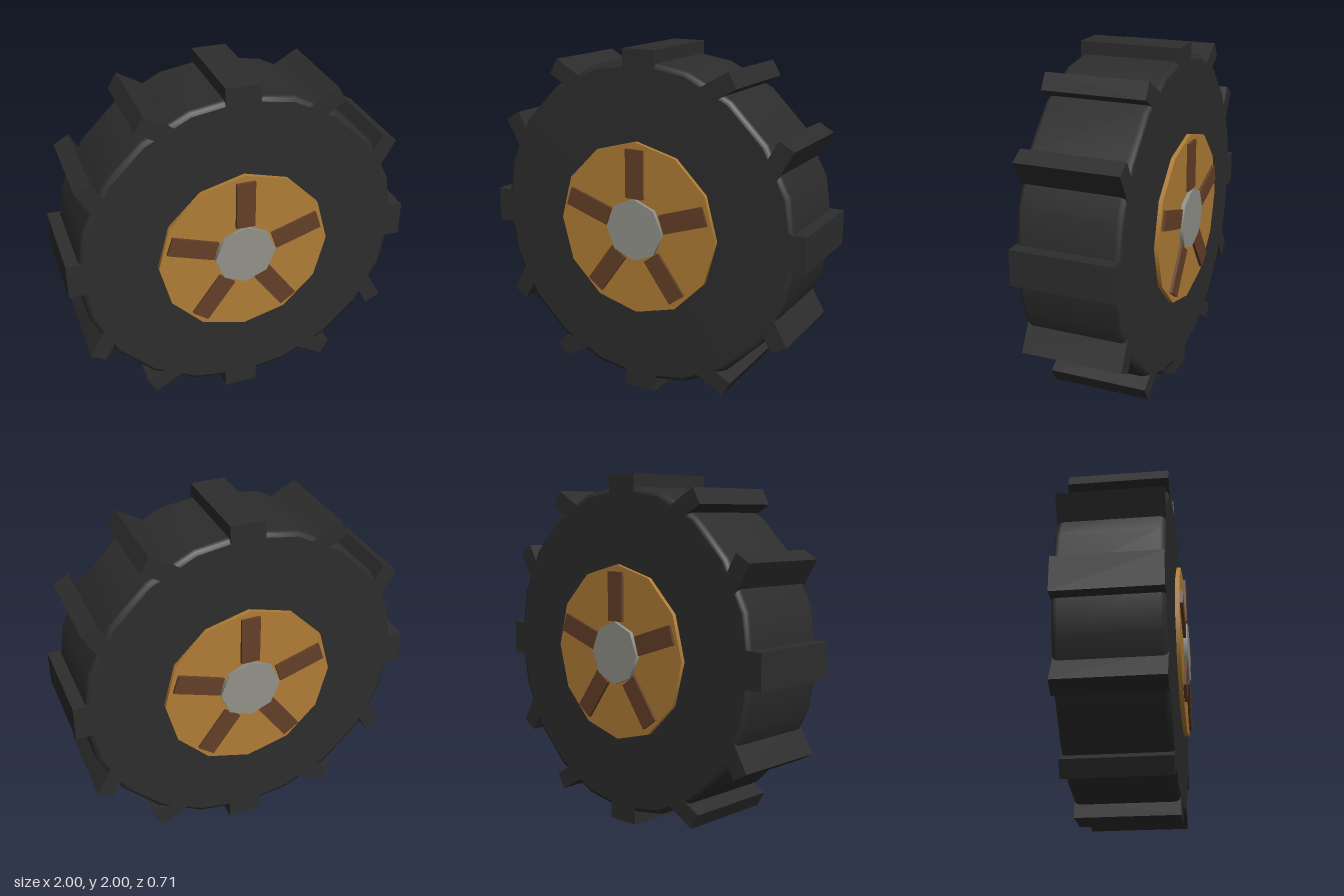
import * as THREE from 'three';

const mat = (name, color) => {
  const m = new THREE.MeshStandardMaterial({ color });
  m.name = name;
  return m;
};

export function createModel() {
  const rubber = mat('black rubber', 0x2d2d2d);
  const bronze = mat('bronze', 0xb07d35);
  const brown = mat('brown', 0x643f27);
  const steel = mat('steel', 0x92928a);

  const wheel = new THREE.Group();
  wheel.name = 'wheel';
  wheel.position.y = 1;

  const add = (parent, name, geometry, material, x = 0, y = 0, z = 0) => {
    const mesh = new THREE.Mesh(geometry, material);
    mesh.name = name;
    mesh.position.set(x, y, z);
    parent.add(mesh);
    return mesh;
  };

  // Tyre: 20-sided drum with softened shoulders; repeated points keep the side walls flat
  const half = [[0, -0.29], [0.915, -0.29], [0.915, -0.29], [0.934, -0.282], [0.943, -0.26]];
  const profile = [...half, ...half.map(([r, z]) => [r, -z]).reverse()];
  const tyre = new THREE.LatheGeometry(profile.map(([r, z]) => new THREE.Vector2(r, z)), 20);
  tyre.rotateX(Math.PI / 2);
  add(wheel, 'tyre', tyre, rubber);

  // Tread lugs: each turns against its position angle, so the diagonal ones stand out like paddles
  const lug = new THREE.BoxGeometry(0.1, 0.2, 0.58);
  for (let i = 0; i < 12; i++) {
    const a = (i * Math.PI) / 6;
    add(wheel, 'treadLug', lug, rubber, 0.95 * Math.cos(a), 0.95 * Math.sin(a)).rotation.z = -a;
  }

  // Rim plate, spokes and hub cap on both sides
  const disc = (r, depth, sides) => new THREE.CylinderGeometry(r, r, depth, sides).rotateX(Math.PI / 2);
  const plate = disc(0.5, 0.024, 12);
  const cap = disc(0.18, 0.024, 8);
  const spoke = new THREE.BoxGeometry(0.28, 0.11, 0.018);
  for (const side of [1, -1]) {
    const rim = new THREE.Group();
    rim.name = side > 0 ? 'frontRim' : 'backRim';
    add(rim, 'rimPlate', plate, bronze, 0, 0, side * 0.318);
    for (let i = 0; i < 5; i++) {
      const a = Math.PI / 2 + (i * Math.PI * 2) / 5;
      add(rim, 'spoke', spoke, brown, 0.32 * Math.cos(a), 0.32 * Math.sin(a), side * 0.338).rotation.z = a;
    }
    add(rim, 'hubCap', cap, steel, 0, 0, side * 0.341);
    wheel.add(rim);
  }

  const model = new THREE.Group();
  model.name = 'model';
  model.add(wheel);
  return model;
}
